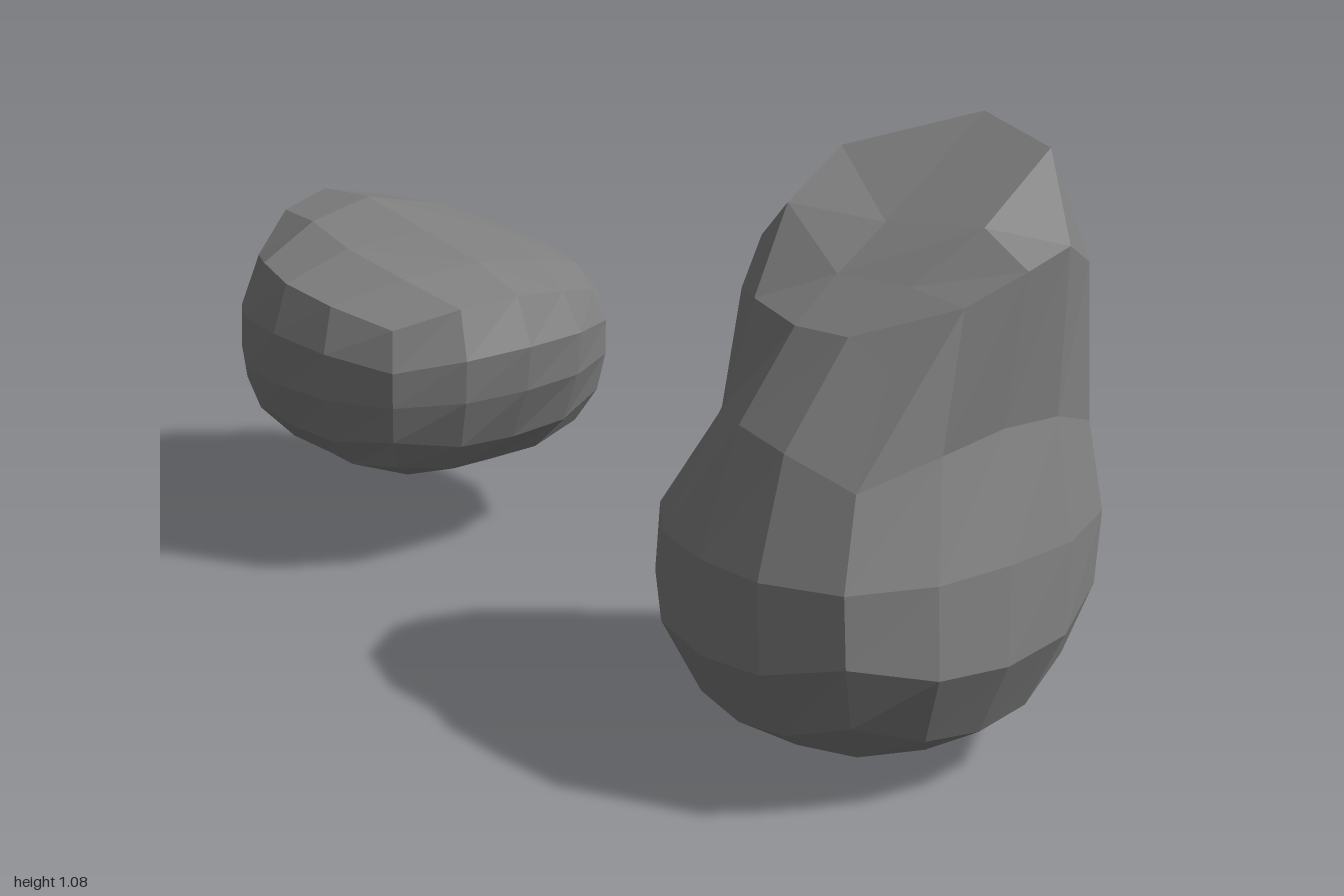
import * as THREE from 'three';

const ramp = (v, a, b) => THREE.MathUtils.clamp((v - a) / (b - a), 0, 1);
const material = new THREE.MeshStandardMaterial({ color: 0x808080, flatShading: true });

// Rings from the bottom to the top of a rock, 22.5 degrees apart:
// [height, x radius, z radius, x centre, z centre, slope along x, slope along z, lift of the sides]
const tallRings = [
  [0, 0, 0, 0.65, 0.01, 0, 0, 0],
  [0.03, 0.15, 0.155, 0.65, 0.015, 0, 0, 0],
  [0.11, 0.28, 0.285, 0.65, 0.015, 0, 0, 0],
  [0.25, 0.348, 0.365, 0.648, 0.015, 0, 0, 0],
  [0.42, 0.338, 0.38, 0.642, 0, 0, 0, 0],
  [0.63, 0.283, 0.325, 0.633, -0.035, 0, 0, 0],
  [0.855, 0.275, 0.255, 0.665, -0.055, 0.015, -0.065, 0.03],
  [0.97, 0.175, 0.16, 0.665, -0.05, -0.03, -0.11, 0.01],
  [0.93, 0, 0, 0.67, 0.01, 0, 0, 0],
];
const lowRings = [
  [0.14, 0, 0, -0.65, 0.01, 0, 0, 0],
  [0.15, 0.125, 0.125, -0.65, 0.01, 0, 0, 0],
  [0.19, 0.225, 0.22, -0.655, 0.01, 0, 0, 0],
  [0.255, 0.295, 0.29, -0.655, 0.01, 0, 0, 0],
  [0.35, 0.335, 0.33, -0.648, 0.01, 0.01, 0, 0],
  [0.455, 0.35, 0.34, -0.65, 0.01, -0.005, 0, 0],
  [0.525, 0.315, 0.305, -0.655, 0.01, -0.03, 0.02, 0.045],
  [0.577, 0.18, 0.175, -0.64, 0.01, -0.022, 0.015, 0.02],
  [0.595, 0, 0, -0.63, 0.01, 0, 0, 0],
];

// Fullness of the four corners per ring: front right, front left, back left, back right
const tallCorners = [
  [1, 1, 1, 1], [1, 1.04, 1.02, 1.04], [1.02, 1.08, 1.04, 1.06],
  [1.02, 1.13, 1.06, 1.08], [1, 1.12, 1.07, 1.08], [0.8, 1.16, 1.08, 1.04],
  [1.06, 0.77, 1.1, 0.92], [1, 0.92, 1.12, 0.92], [1, 1, 1, 1],
];
const lowCorners = [
  [1, 1, 1, 1], [1.2, 1.2, 1.2, 1.2], [1.22, 1.22, 1.22, 1.22],
  [1.16, 1.15, 1.15, 1.15], [1.07, 1.07, 1.07, 1.07], [1.02, 1.04, 1.04, 1.04],
  [0.93, 1.04, 1.02, 1], [0.95, 1, 1, 1], [1, 1, 1, 1],
];

const blend = (rows, t) => {
  const i = Math.min(Math.floor(t), rows.length - 2);
  return rows[i].map((v, k) => THREE.MathUtils.lerp(v, rows[i + 1][k], t - i));
};

// Faceted ball of six 4x4 patches, shaped by the rings;
// lip raises the rim at the front right and back left corners
function makeRock(name, rings, corners, lip) {
  const geo = new THREE.BoxGeometry(2, 2, 2, 4, 4, 4);
  const pos = geo.attributes.position;
  const d = new THREE.Vector3();
  for (let i = 0; i < pos.count; i++) {
    d.fromBufferAttribute(pos, i);
    d.set(...d.toArray().map((c) => Math.tan(c * Math.PI / 4))).normalize();
    const h = Math.max(Math.hypot(d.x, d.z), 1e-4);
    const ax = d.x / h, az = d.z / h;
    const t = Math.acos(THREE.MathUtils.clamp(-d.y, -1, 1)) / (Math.PI / 8);
    const [y, rx, rz, cx, cz, slopeX, slopeZ, sides] = blend(rings, t);
    const corner = az > 0 ? (ax < 0 ? 0 : 1) : (ax > 0 ? 2 : 3);
    const diagonal = (2 * ax * az) ** 2;
    const full = 1 + (blend(corners, t)[corner] - 1) * diagonal;
    const raise = ax * az < 0 ? lip * diagonal * ramp(t, 4.8, 5.6) : 0;
    pos.setXYZ(i, cx + ax * rx * full,
      y + slopeX * ax + slopeZ * az + sides * ax * ax + raise,
      cz + az * rz * full);
  }
  geo.computeVertexNormals();
  const mesh = new THREE.Mesh(geo, material);
  mesh.name = name;
  return mesh;
}

export function createModel() {
  const group = new THREE.Group();
  group.name = 'rocks';
  group.add(
    makeRock('tallRock', tallRings, tallCorners, 0.06),
    makeRock('lowRock', lowRings, lowCorners, 0),
  );
  return group;
}
